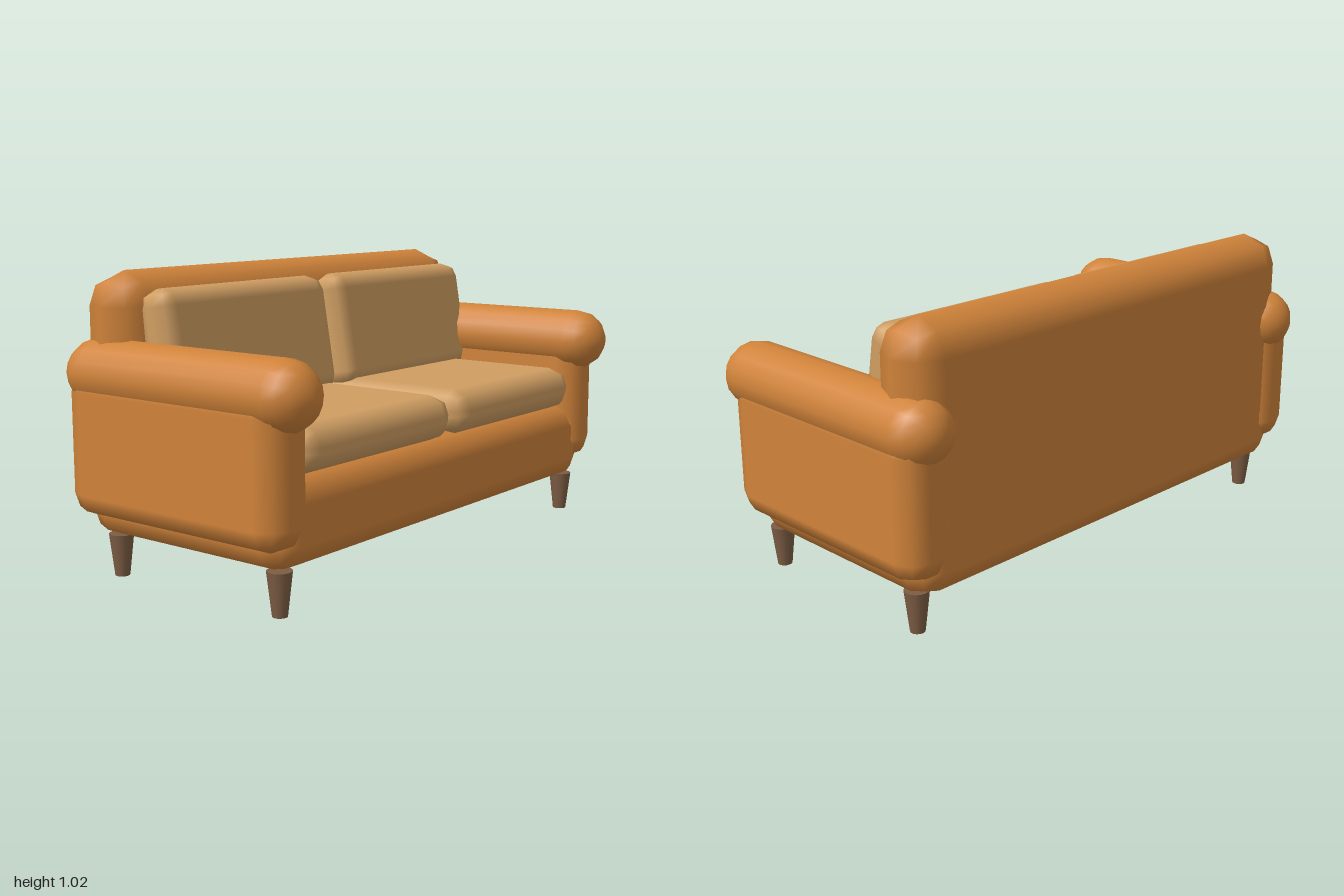
import * as THREE from 'three';
import { RoundedBoxGeometry } from 'three/addons/geometries/RoundedBoxGeometry.js';

const mat = (name, color) => {
  const m = new THREE.MeshStandardMaterial({ color });
  m.name = name;
  return m;
};

export function createModel() {
  const sofa = new THREE.Group();
  sofa.name = 'sofa';
  const leather = mat('orange leather', 0xd0833a);
  const fabric = mat('tan cushion fabric', 0xd09e62);
  const wood = mat('brown wood', 0x7d5d44);

  const add = (name, geometry, material, x, y, z) => {
    const mesh = new THREE.Mesh(geometry, material);
    mesh.name = name;
    mesh.position.set(x, y, z);
    sofa.add(mesh);
    return mesh;
  };
  // Box with softly bevelled edges
  const soft = (w, h, d, r) => new RoundedBoxGeometry(w, h, d, 1, r);

  // Frame: base and backrest
  add('base', soft(1.86, 0.305, 0.88, 0.09), leather, 0, 0.2875, -0.02);
  add('backrest', soft(1.87, 0.8, 0.235, 0.115), leather, 0, 0.625, -0.345);

  // Rolled armrest, lying along z
  const roll = new THREE.CapsuleGeometry(0.115, 0.8, 4, 16);
  roll.rotateX(Math.PI / 2);
  const leg = new THREE.CylinderGeometry(0.042, 0.025, 0.145, 14);

  for (const [side, s] of [['left', 1], ['right', -1]]) {
    // Arms
    add(side + 'ArmPanel', soft(0.2, 0.5, 0.92, 0.08), leather, s * 0.89, 0.46, -0.02);
    add(side + 'ArmRoll', roll, leather, s * 0.883, 0.69, 0);

    // Cushions, the back one leaning on the backrest
    add(side + 'SeatCushion', soft(0.81, 0.16, 0.67, 0.07), fabric, s * 0.415, 0.505, 0.09);
    const back = add(side + 'BackCushion', soft(0.835, 0.43, 0.145, 0.06), fabric, s * 0.4375, 0.757, -0.176);
    back.rotation.x = -0.17;

    // Tapered legs
    add(side + 'FrontLeg', leg, wood, s * 0.862, 0.0725, 0.353);
    add(side + 'BackLeg', leg, wood, s * 0.862, 0.0725, -0.352);
  }
  return sofa;
}
